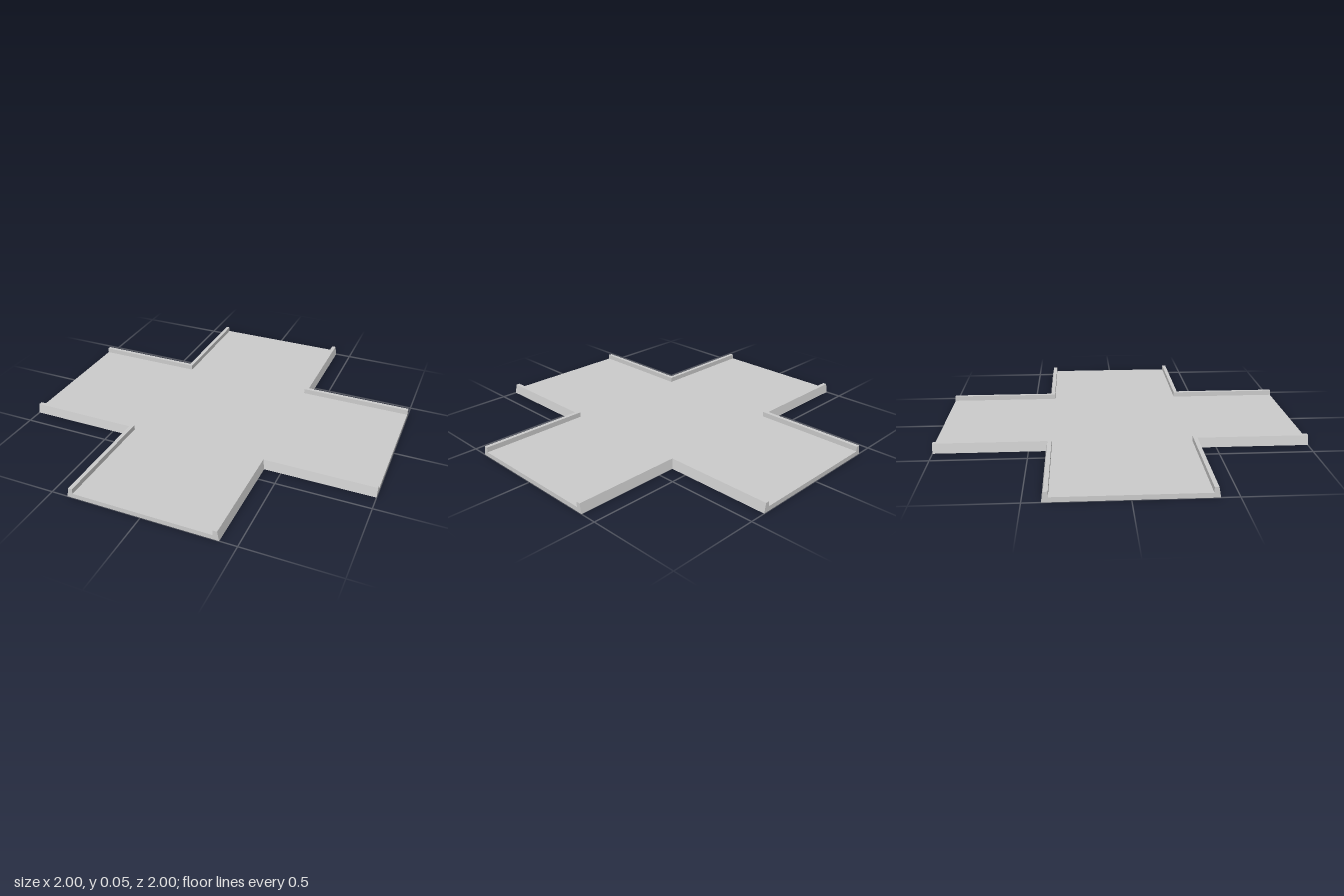
import * as THREE from 'three';

const INNER = 0.377, TOP = 0.053, FLOOR = 0.025;

// Kerb section as [half-width, height]: battered outside, upright inside
const SECTION = [[0.409, 0], [0.399, TOP], [INNER, TOP], [INNER, 0]];

// L-shaped kerb swept round one inner corner with a mitre
function kerbGeometry() {
  const rings = [
    SECTION.map(([s, y]) => [1, y, s]),
    SECTION.map(([s, y]) => [s, y, s]),
    SECTION.map(([s, y]) => [s, y, 1]),
  ];
  const pos = [];
  const quad = (a, b, c, d) => pos.push(...a, ...b, ...c, ...a, ...c, ...d);
  for (let i = 0; i < 2; i++) {
    for (let k = 0; k < 4; k++) {
      const n = (k + 1) % 4;
      quad(rings[i][k], rings[i][n], rings[i + 1][n], rings[i + 1][k]);
    }
  }
  quad(...[...rings[0]].reverse()); // end caps
  quad(...rings[2]);
  const geo = new THREE.BufferGeometry();
  geo.setAttribute('position', new THREE.Float32BufferAttribute(pos, 3));
  geo.computeVertexNormals();
  return geo;
}

// Cross-shaped slab between the kerbs
function floorGeometry() {
  const w = INNER;
  const outline = [
    [w, -1], [w, -w], [1, -w], [1, w], [w, w], [w, 1],
    [-w, 1], [-w, w], [-1, w], [-1, -w], [-w, -w], [-w, -1],
  ].map(([x, y]) => new THREE.Vector2(x, y));
  const geo = new THREE.ExtrudeGeometry(new THREE.Shape(outline), { depth: FLOOR, bevelEnabled: false });
  return geo.rotateX(-Math.PI / 2);
}

export function createModel() {
  const group = new THREE.Group();
  group.name = 'crossJunction';
  const grey = new THREE.MeshStandardMaterial({ color: 0xcccccc });
  grey.name = 'light grey';

  const floor = new THREE.Mesh(floorGeometry(), grey);
  floor.name = 'floor';
  group.add(floor);

  // One kerb per inner corner
  const kerbGeo = kerbGeometry();
  for (let i = 0; i < 4; i++) {
    const kerb = new THREE.Mesh(kerbGeo, grey);
    kerb.name = 'cornerKerb' + (i + 1);
    kerb.rotation.y = (i * Math.PI) / 2;
    group.add(kerb);
  }
  return group;
}
